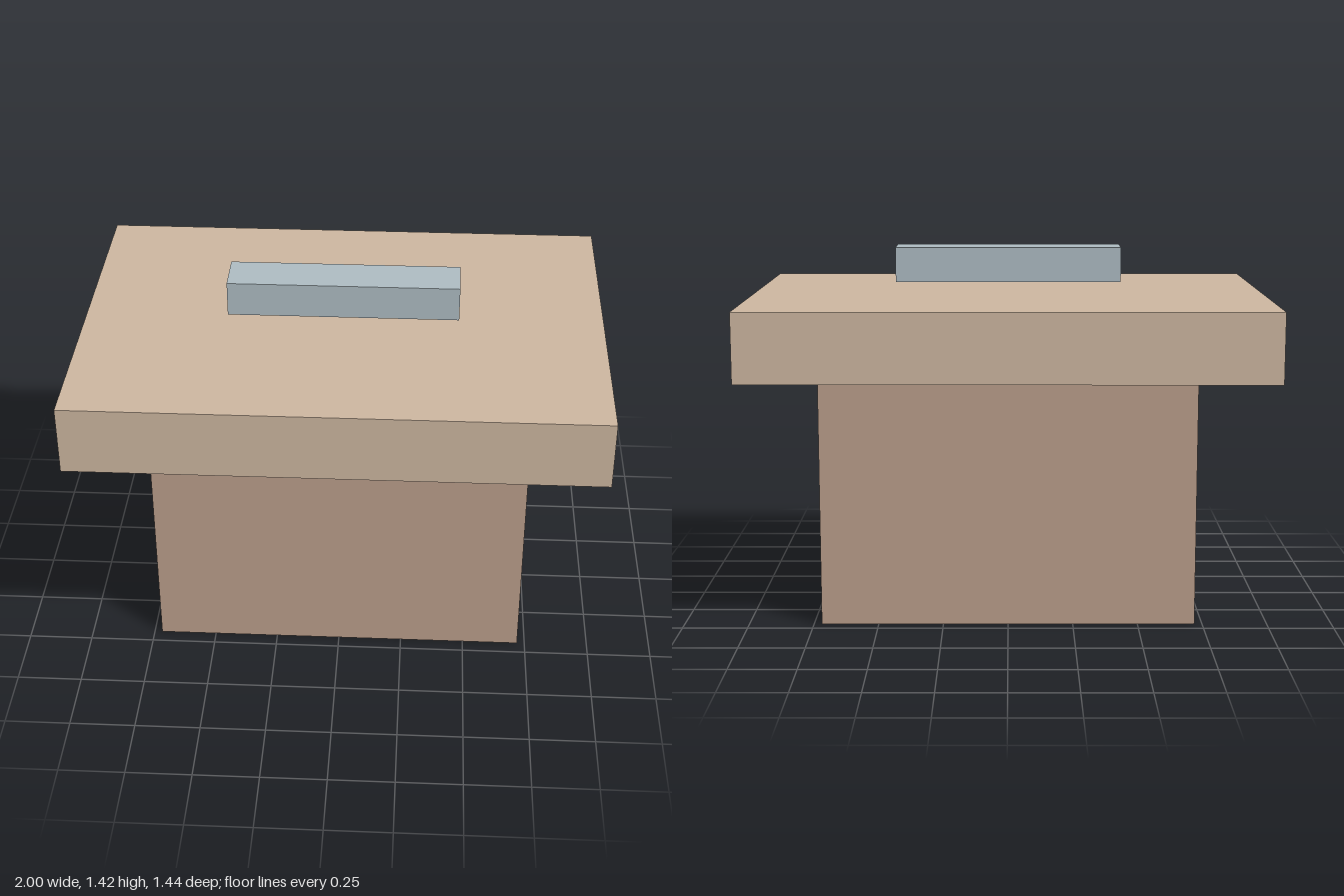
import * as THREE from 'three';

// Box centred on x and z, spanning bottom..top in y
function block(name, width, depth, bottom, top, color) {
  const mesh = new THREE.Mesh(
    new THREE.BoxGeometry(width, top - bottom, depth),
    new THREE.MeshStandardMaterial({ color })
  );
  mesh.name = name;
  mesh.position.y = (bottom + top) / 2;
  return mesh;
}

export function createModel() {
  const group = new THREE.Group();
  group.name = 'pedestal';
  group.add(
    // Solid body standing on the ground
    block('base', 1.44, 0.89, 0, 0.98, 0xb99d8a),
    // Overhanging slab
    block('topSlab', 2, 1.44, 0.98, 1.245, 0xcbb59f),
    // Narrow bar hovering just above the slab
    block('floatingBar', 0.885, 0.175, 1.29, 1.425, 0xacbac1)
  );
  return group;
}
